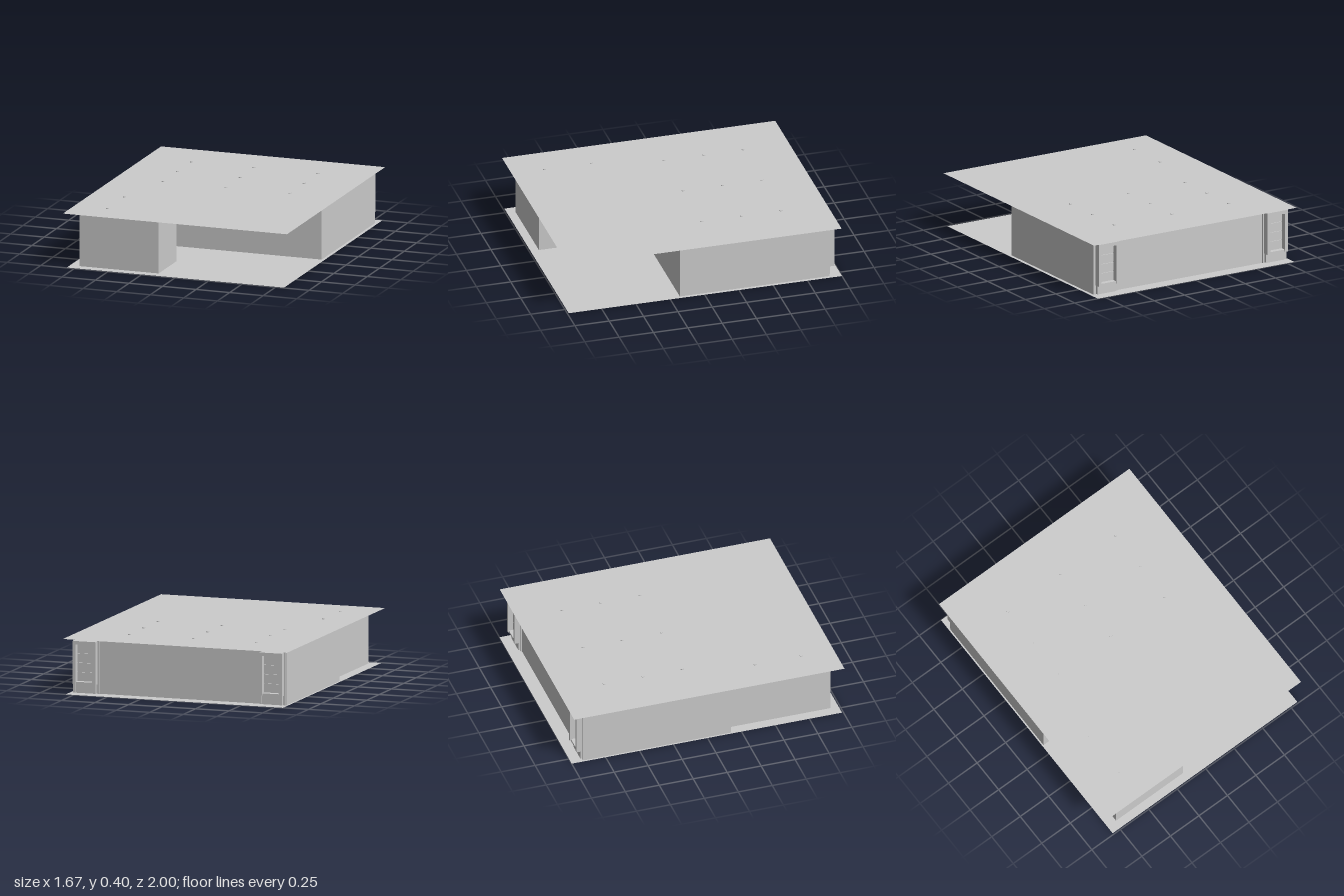
import * as THREE from 'three';

const grey = new THREE.MeshStandardMaterial({ color: 0xcccccc });
const sheet = new THREE.MeshStandardMaterial({ color: 0xcccccc, side: THREE.DoubleSide });

function add(parent, name, geometry, material = grey) {
  const mesh = new THREE.Mesh(geometry, material);
  mesh.name = name;
  parent.add(mesh);
  return mesh;
}

// Box given by its minimum and maximum on each axis
function box(parent, name, [x0, x1], [y0, y1], [z0, z1]) {
  const mesh = add(parent, name, new THREE.BoxGeometry(x1 - x0, y1 - y0, z1 - z0));
  mesh.position.set((x0 + x1) / 2, (y0 + y1) / 2, (z0 + z1) / 2);
  return mesh;
}

// Thin horizontal slab
function slab(parent, name, width, depth, y, z) {
  const mesh = add(parent, name, new THREE.PlaneGeometry(width, depth).rotateX(-Math.PI / 2), sheet);
  mesh.position.set(0, y, z);
}

// Loading dock on the back wall, centred on x
function loadingDock(x) {
  const dock = new THREE.Group();
  dock.name = 'loadingDock';
  const wall = -0.9;
  for (const s of [-1, 1]) {
    const side = box(dock, 'shelterSide', [-0.012, 0.012], [0.07, 0.375], [-0.957, wall]);
    side.position.x = s * 0.073;
    const jamb = box(dock, 'doorJamb', [-0.007, 0.007], [0.003, 0.385], [-0.915, wall]);
    jamb.position.x = s * 0.09;
  }
  box(dock, 'shelterHead', [-0.061, 0.061], [0.35, 0.375], [-0.957, wall]);
  box(dock, 'dockSill', [-0.061, 0.061], [0.07, 0.085], [-0.95, wall]);
  box(dock, 'dockBumper', [-0.075, 0.075], [0.003, 0.068], [-0.925, wall]);
  // Sectional door with narrow gaps between its panels
  box(dock, 'doorBacking', [-0.061, 0.061], [0.085, 0.35], [-0.91, wall]);
  const rows = 4, step = 0.265 / rows;
  for (let i = 0; i < rows; i++) {
    const y = 0.085 + i * step;
    box(dock, 'doorPanel', [-0.061, 0.061], [y + 0.002, y + step - 0.002], [-0.918, -0.905]);
  }
  dock.position.x = x;
  return dock;
}

export function createModel() {
  const model = new THREE.Group();
  model.name = 'warehouse';

  slab(model, 'groundSlab', 1.62, 1.99, 0, -0.005);
  slab(model, 'roof', 1.67, 1.99, 0.39, 0.005);

  // Walls: a wide hall with a narrower front wing and a recess between them
  const plan = [
    [-0.8, -0.905], [0.79, -0.905], [0.79, 0.175], [-0.35, 0.175], [-0.35, 0.57],
    [-0.147, 0.57], [-0.147, 0.93], [-0.735, 0.93], [-0.735, 0.175], [-0.8, 0.175],
  ];
  const outline = new THREE.Shape(plan.map(([x, z]) => new THREE.Vector2(x, -z)));
  const walls = add(model, 'walls',
    new THREE.ExtrudeGeometry(outline, { depth: 0.386, bevelEnabled: false }).rotateX(-Math.PI / 2));
  walls.position.y = 0.002;

  // Columns whose tops just pass through the roof
  const spots = [[-0.59, 0.42], [-0.59, 0.76]];
  for (const x of [-0.485, -0.017, 0.46])
    for (const z of [-0.655, -0.37, -0.08]) spots.push([x, z]);
  for (const [x, z] of spots) {
    const column = add(model, 'column', new THREE.CylinderGeometry(0.011, 0.011, 0.393, 12));
    column.position.set(x, 0.1985, z);
  }

  // Loading docks at both ends of the back wall
  for (const x of [-0.7, 0.69]) model.add(loadingDock(x));

  return model;
}
